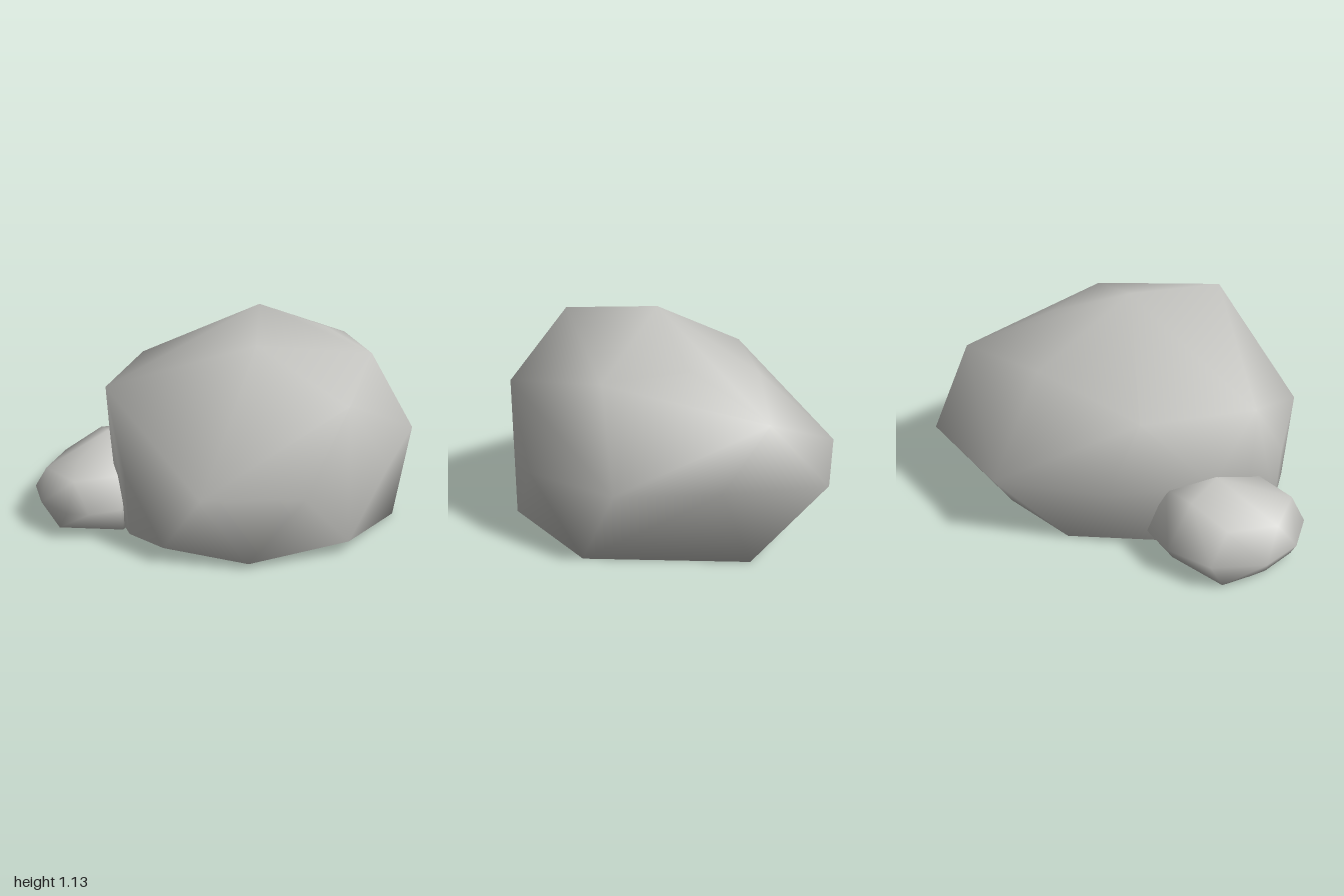
import * as THREE from 'three';
import { mergeVertices } from 'three/addons/utils/BufferGeometryUtils.js';
import { ConvexGeometry } from 'three/addons/geometries/ConvexGeometry.js';

// Smooth-shaded boulder wrapped around a few corner points
function boulder(name, corners, material) {
  const hull = new ConvexGeometry(corners.map((c) => new THREE.Vector3(...c)));
  hull.deleteAttribute('normal');
  const geometry = mergeVertices(hull, 1e-4);
  geometry.computeVertexNormals();
  const mesh = new THREE.Mesh(geometry, material);
  mesh.name = name;
  return mesh;
}

export function createModel() {
  const group = new THREE.Group();
  group.name = 'rocks';
  const stone = new THREE.MeshStandardMaterial({ color: 0xc4c4c0 });
  stone.name = 'grey stone';

  const large = [
    // crown
    [0.04, 1.13, -0.04], [0.38, 1.07, 0.35], [0.1, 0.92, -0.5], [-0.35, 0.82, -0.42],
    // shoulders
    [0.8, 0.8, 0.13], [-0.32, 0.78, 0.72], [-0.61, 0.78, 0.2], [-0.1, 0.75, -0.92], [0.53, 0.89, -0.375],
    // waist
    [-0.4, 0.4, -1.0], [0.17, 0.45, -0.93], [0.61, 0.42, -0.65], [0.83, 0.4, -0.15], [0.71, 0.35, 0.35],
    [0.43, 0.4, 0.79], [-0.08, 0.4, 0.82], [-0.5, 0.4, 0.55], [-0.72, 0.4, 0.07], [-0.77, 0.4, -0.52],
    // foot
    [0.8, 0.07, 0.11], [0.55, 0.03, 0.58], [0.16, 0.06, 0.79], [-0.08, 0.06, 0.8],
    [-0.3, 0.04, 0.68], [-0.56, 0.05, 0.32],
    // underside
    [-0.05, 0, -0.85], [-0.41, 0, -0.58], [-0.61, 0, -0.19], [-0.5, 0, 0.06], [0.67, 0, -0.42],
    [0.69, 0.01, 0.05], [0.45, 0, 0.45], [-0.38, 0, 0.4], [0, 0, 0.65],
  ];

  const small = [
    // crown
    [-0.66, 0.4, 0.48], [-0.49, 0.455, 0.57], [-0.2, 0.32, 0.68], [-0.58, 0.4, 0.33], [-0.35, 0.4, 0.42],
    [-0.45, 0.36, 0.82], [-0.35, 0.31, 0.93], [-0.6, 0.31, 0.91], [-0.72, 0.31, 0.68],
    // waist
    [-0.83, 0.16, 0.63], [-0.76, 0.16, 0.39], [-0.64, 0.16, 0.25], [-0.4, 0.16, 0.25], [-0.22, 0.16, 0.45],
    [-0.165, 0.16, 0.78], [-0.24, 0.16, 0.93], [-0.33, 0.16, 1.0], [-0.54, 0.16, 1.0], [-0.73, 0.16, 0.89],
    // underside
    [-0.78, 0.02, 0.68], [-0.69, 0.04, 0.81], [-0.19, 0.03, 0.75], [-0.45, 0.03, 0.96],
    [-0.62, 0, 0.38], [-0.48, 0, 0.26], [-0.3, 0, 0.5], [-0.4, 0, 0.8], [-0.6, 0.01, 0.86],
  ];

  group.add(boulder('largeRock', large, stone), boulder('smallRock', small, stone));
  return group;
}
